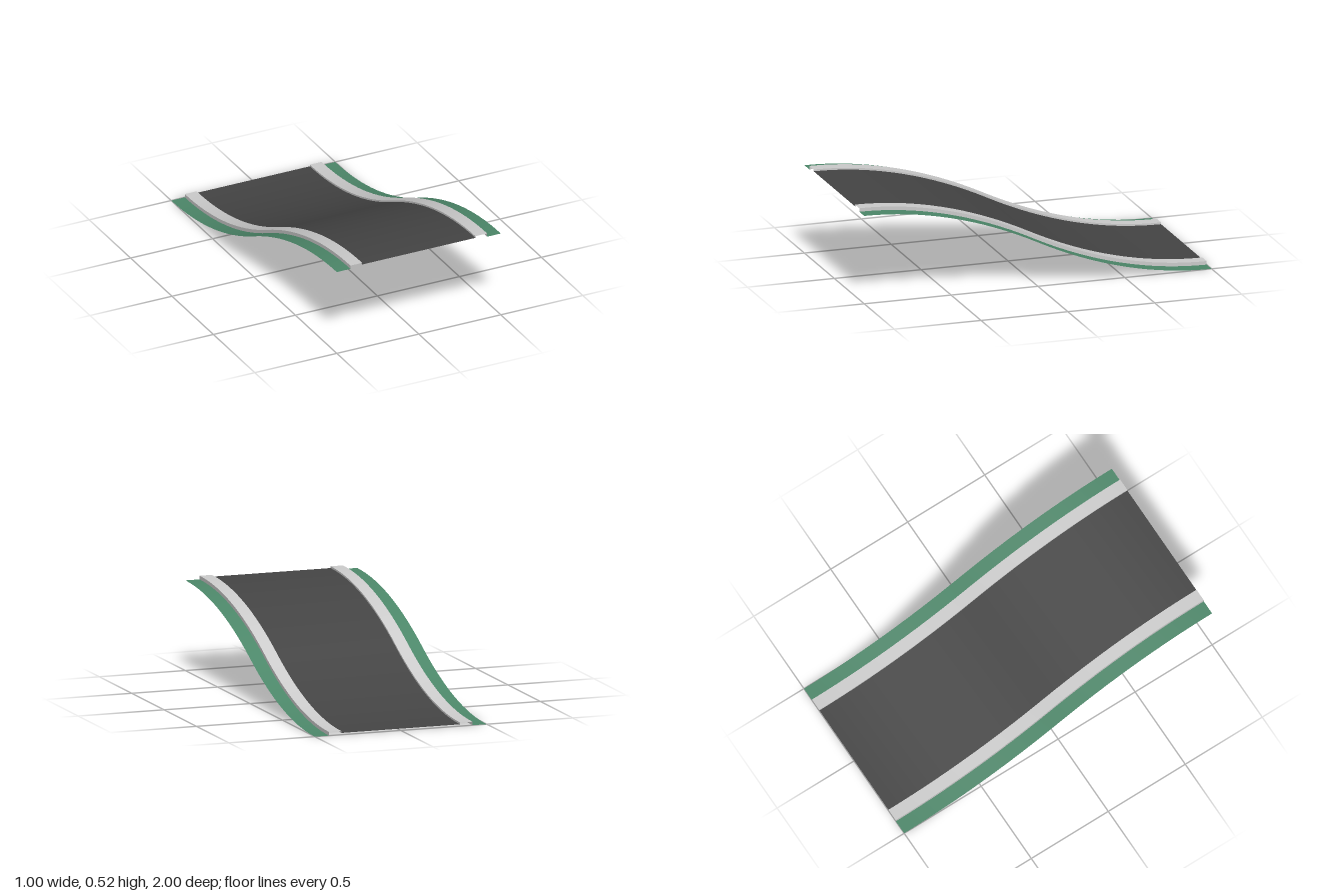
import * as THREE from 'three';
import { mergeGeometries } from 'three/addons/utils/BufferGeometryUtils.js';

const SEGMENTS = 32;

// S-shaped slope: two parabolas meeting at the middle
const slope = (z) => (z > 0 ? 0.5 - 0.25 * (1 - z) ** 2 : 0.25 * (1 + z) ** 2);

// Strip following the slope, spanning two (x, height) points of the cross-section
function strip([x0, h0], [x1, h1]) {
  const geo = new THREE.PlaneGeometry(1, 2, 1, SEGMENTS).rotateX(-Math.PI / 2);
  const pos = geo.attributes.position;
  for (let i = 0; i < pos.count; i++) {
    const t = pos.getX(i) + 0.5;
    const z = pos.getZ(i);
    pos.setXYZ(i, x0 + (x1 - x0) * t, slope(z) + h0 + (h1 - h0) * t, z);
  }
  geo.computeVertexNormals();
  return geo;
}

// Sweep a cross-section, listed from -x to +x, with sharp corners between its strips
function sweep(name, profile, material) {
  const strips = profile.slice(1).map((p, i) => strip(profile[i], p));
  const mesh = new THREE.Mesh(mergeGeometries(strips), material);
  mesh.name = name;
  return mesh;
}

export function createModel() {
  const group = new THREE.Group();
  group.name = 'slopedRoad';
  const mat = (color) => new THREE.MeshStandardMaterial({ color, side: THREE.DoubleSide });
  const asphalt = mat(0x444444);
  const concrete = mat(0xcccccc);
  const grass = mat(0x4c8769);

  // Road surface
  group.add(sweep('road', [[-0.345, 0.01], [0.345, 0.01]], asphalt));

  // Raised curbs (open underneath) and grass verges on both sides
  const curb = [[0.345, 0.01], [0.345, 0.02], [0.417, 0.02], [0.417, 0]];
  const verge = [[0.417, 0], [0.5, 0]];
  const mirror = (profile) => profile.map(([x, h]) => [-x, h]).reverse();
  group.add(
    sweep('leftCurb', curb, concrete),
    sweep('rightCurb', mirror(curb), concrete),
    sweep('leftVerge', verge, grass),
    sweep('rightVerge', mirror(verge), grass),
  );
  return group;
}
